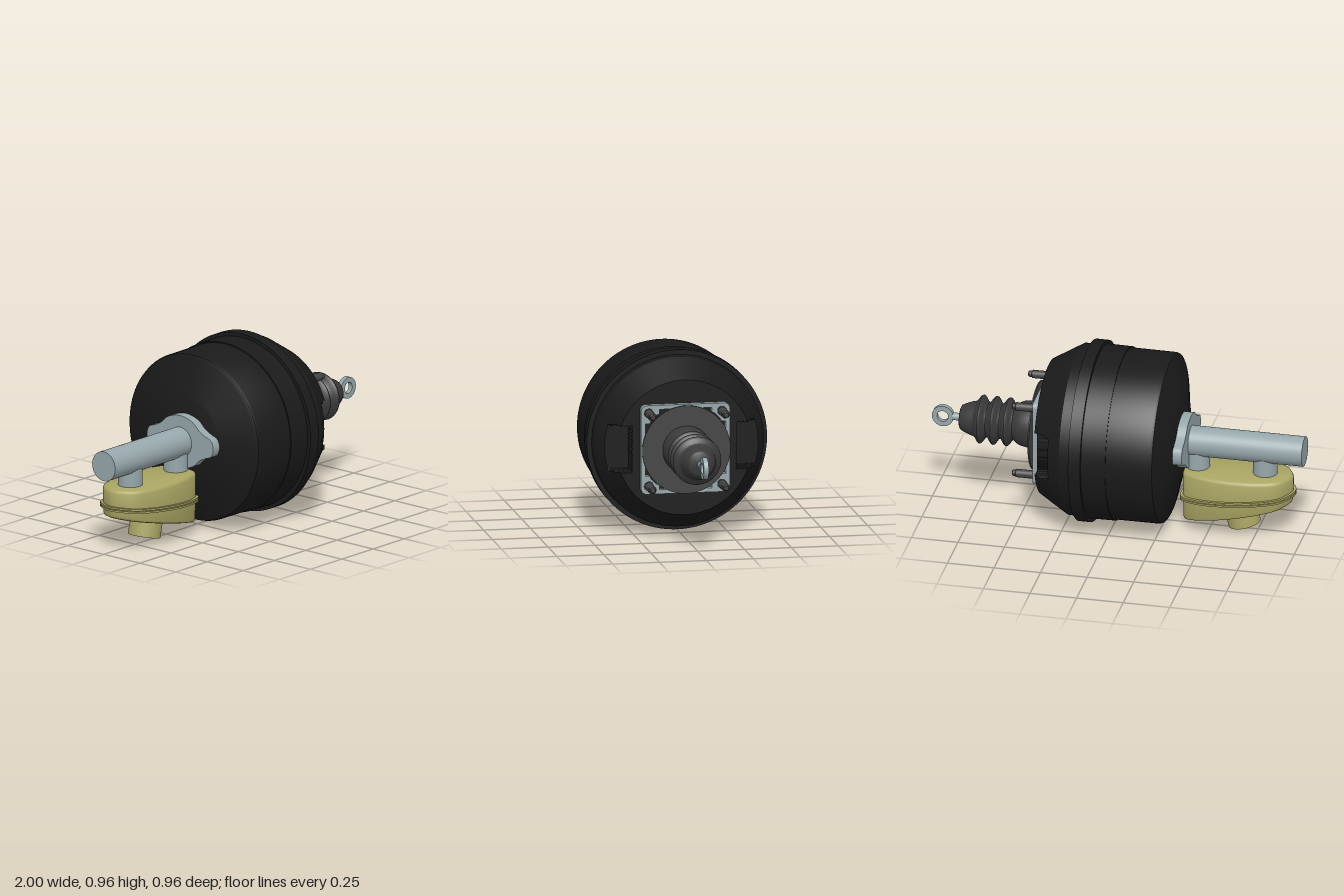
import * as THREE from 'three';
import { toCreasedNormals } from 'three/addons/utils/BufferGeometryUtils.js';

const AXIS_Y = 0.48;
const BLACK = 0x1a1a1a, RUBBER = 0x3a3a3a, DARK = 0x444444, STEEL = 0x97a7ab, PLASTIC = 0xa9a563;

function part(name, geo, color, crease = 0.5) {
  // scaled up so small details stay distinct while creasing
  geo.scale(50, 50, 50);
  const g = toCreasedNormals(geo, crease);
  g.scale(0.02, 0.02, 0.02);
  const mesh = new THREE.Mesh(g, new THREE.MeshStandardMaterial({ color }));
  mesh.name = name;
  return mesh;
}

// Lathe around the x axis; the profile is [x, radius] with x increasing
function latheX(profile, segments) {
  const g = new THREE.LatheGeometry(profile.map(([x, r]) => new THREE.Vector2(r, x)), segments);
  return g.rotateZ(-Math.PI / 2);
}

// Extrude a shape drawn in the zy plane along x
function extrudeX(shape, x, depth) {
  const g = new THREE.ExtrudeGeometry(shape, { depth, bevelEnabled: false, curveSegments: 24 });
  return g.rotateY(Math.PI / 2).translate(x, AXIS_Y, 0);
}

function roundedSquare(h, r) {
  const s = new THREE.Shape();
  s.absarc(h - r, h - r, r, 0, Math.PI / 2);
  s.absarc(r - h, h - r, r, Math.PI / 2, Math.PI);
  s.absarc(r - h, r - h, r, Math.PI, Math.PI * 1.5);
  s.absarc(h - r, r - h, r, Math.PI * 1.5, Math.PI * 2);
  return s;
}

// Vacuum housing, with a pocket sunk into each side of the rear shoulder
function housing() {
  const profile = [[-0.34, 0], [-0.34, 0.225], [-0.335, 0.235], [-0.285, 0.435], [-0.278, 0.447], [-0.265, 0.452],
    [-0.03, 0.453], [-0.03, 0.459], [0.1, 0.46], [0.1, 0.48], [0.165, 0.48], [0.165, 0.455]];
  for (let i = 0; i <= 30; i++) profile.push([0.22 + 0.155 * i / 30, 0.453 - 0.093 * i / 30]);
  for (let i = 1; i <= 25; i++) profile.push([0.375, 0.36 - 0.1 * i / 25]);
  profile.push([0.375, 0]);
  const g = latheX(profile, 256);
  const p = g.attributes.position;
  for (let i = 0; i < p.count; i++) {
    if (Math.abs(p.getZ(i)) > 0.28 && Math.abs(p.getY(i)) < 0.121) p.setX(i, Math.min(p.getX(i), 0.29));
  }
  return g.translate(0, AXIS_Y, 0);
}

// Square mounting frame with gusseted corners
function mountingFrame() {
  const s = roundedSquare(0.237, 0.03);
  const corner = [[0.215, 0.14], [0.19, 0.14], [0.185, 0.155], [0.155, 0.185], [0.14, 0.19], [0.14, 0.215]];
  const pts = [];
  for (let k = 0; k < 4; k++) {
    for (const [x, y] of corner) pts.push(new THREE.Vector2(x, y).rotateAround(new THREE.Vector2(), k * Math.PI / 2));
  }
  s.holes.push(new THREE.Path(pts.reverse()));
  return extrudeX(s, 0.375, 0.035);
}

// Two-eared flange behind the pressure cylinder
function cylinderFlange() {
  const quarter = [[0.23, 0], [0.215, 0.043], [0.175, 0.06], [0.135, 0.08], [0.085, 0.122], [0, 0.143]];
  const half = [...quarter, ...quarter.slice(0, -1).reverse().map(([x, y]) => [-x, y])];
  const loop = [...half, ...half.slice(1, -1).reverse().map(([x, y]) => [x, -y])];
  const curve = new THREE.CatmullRomCurve3(loop.map(([x, y]) => new THREE.Vector3(x, y, 0)), true);
  const shape = new THREE.Shape(curve.getPoints(96).slice(0, -1).map(v => new THREE.Vector2(v.x, v.y)));
  return extrudeX(shape, -0.39, 0.05);
}

// Stack of plan outlines; each ring is [outward offset, y at left end, y at right end]
function reservoirStack(rings) {
  const x0 = -0.94, x1 = -0.358, cx = (x0 + x1) / 2, N = 80;
  const side = [[-0.92, 0.06], [-0.875, 0.115], [-0.78, 0.15], [-0.65, 0.163], [-0.52, 0.152], [-0.41, 0.118], [-0.366, 0.085]];
  const loop = [[x1, 0], ...[...side].reverse(), [x0, 0], ...side.map(([x, z]) => [x, -z])];
  const plan = new THREE.CatmullRomCurve3(loop.map(([x, z]) => new THREE.Vector3(x, 0, z)), true).getSpacedPoints(N);
  const pos = [], idx = [];
  rings.forEach(([off, yl, yr], j) => {
    for (let i = 0; i < N; i++) {
      const x = cx + (plan[i].x - cx) * (1 + off / 0.291);
      const z = plan[i].z * (1 + off / 0.163);
      pos.push(x, yl + (yr - yl) * (x - x0) / (x1 - x0), z);
      if (j === 0) continue;
      const a = (j - 1) * N + i, b = (j - 1) * N + (i + 1) % N;
      idx.push(a, a + N, b, b, a + N, b + N);
    }
  });
  // close both ends with a fan
  const last = (rings.length - 1) * N;
  const [, bl, br] = rings[0], [, tl, tr] = rings[rings.length - 1];
  const c = pos.length / 3;
  pos.push(cx, (bl + br) / 2, 0, cx, (tl + tr) / 2, 0);
  for (let i = 0; i < N; i++) {
    const n = (i + 1) % N;
    idx.push(c, i, n, c + 1, last + n, last + i);
  }
  const g = new THREE.BufferGeometry();
  g.setAttribute('position', new THREE.Float32BufferAttribute(pos, 3));
  g.setIndex(idx);
  return g;
}

// Bellows profile: collar, three ridges, tapered nose
function bellows() {
  const profile = [[0.435, 0], [0.435, 0.127], [0.46, 0.127], [0.515, 0.118], [0.535, 0.108]];
  for (let i = 0; i <= 36; i++) {
    const t = i / 36;
    profile.push([0.555 + 0.215 * t, 0.111 - 0.018 * Math.cos(t * Math.PI * 6)]);
  }
  profile.push([0.785, 0.09], [0.83, 0.072], [0.842, 0.065], [0.847, 0.055], [0.847, 0]);
  return latheX(profile, 64).translate(0, AXIS_Y, 0);
}

export function createModel() {
  const model = new THREE.Group();
  const rod = (name, x0, x1, r, color, y = AXIS_Y, z = 0, seg = 40) => model.add(
    part(name, latheX([[x0, 0], [x0, r], [x1, r], [x1, 0]], seg).translate(0, y, z), color));

  model.add(part('vacuumHousing', housing(), BLACK));
  model.add(part('mountingFrame', mountingFrame(), STEEL));

  // Rear seal, boot and push rod
  rod('rearHub', 0.37, 0.432, 0.12, STEEL);
  rod('bootDisc', 0.43, 0.437, 0.235, DARK, AXIS_Y, 0, 80);
  model.add(part('bellowsBoot', bellows(), RUBBER, 0.7));
  rod('pushRod', 0.84, 0.89, 0.02, STEEL);
  const eye = new THREE.Shape().absarc(0, 0, 0.058, 0, Math.PI * 2);
  eye.holes.push(new THREE.Path().absarc(0, 0, 0.03, 0, Math.PI * 2, true));
  const eyeGeo = new THREE.ExtrudeGeometry(eye, { depth: 0.026, bevelEnabled: false, curveSegments: 32 });
  model.add(part('rodEye', eyeGeo.translate(0.942, AXIS_Y, -0.013), STEEL));

  // Four mounting studs
  const stud = [[0.37, 0], [0.37, 0.026], [0.415, 0.026], [0.415, 0.022], [0.505, 0.022],
    [0.508, 0.017], [0.522, 0.017], [0.527, 0.012], [0.527, 0]];
  for (const sy of [-1, 1]) for (const sz of [-1, 1]) {
    model.add(part('mountingStud', latheX(stud, 24).translate(0, AXIS_Y + sy * 0.195, sz * 0.195), DARK));
  }

  // Pressure cylinder with its flange and two feed ports
  model.add(part('cylinderFlange', cylinderFlange(), STEEL));
  rod('pressureCylinder', -1, -0.35, 0.08, STEEL, AXIS_Y, 0, 56);
  for (const x of [-0.788, -0.425]) {
    model.add(part('feedPort', new THREE.CylinderGeometry(0.064, 0.064, 0.13, 40).translate(x, 0.385, 0), STEEL));
  }

  // Fluid reservoir: sloping bowl, double seam lip and filler cap
  model.add(part('reservoir', reservoirStack([
    [-0.02, 0.183, 0.053], [-0.008, 0.187, 0.057], [-0.003, 0.2, 0.07],
    [0, 0.318, 0.318], [-0.005, 0.33, 0.33], [-0.017, 0.336, 0.336]]), PLASTIC, 0.8));
  [0, 0.014].forEach(d => model.add(part('reservoirLip', reservoirStack([
    [-0.01, 0.224 + d, 0.172 + d], [0.013, 0.224 + d, 0.172 + d],
    [0.013, 0.234 + d, 0.182 + d], [-0.01, 0.234 + d, 0.182 + d]]), PLASTIC)));
  const cap = new THREE.CylinderGeometry(0.086, 0.086, 0.13, 48).rotateZ(-0.215).translate(-0.663, 0.095, 0);
  model.add(part('fillerCap', cap, PLASTIC));

  return model;
}
